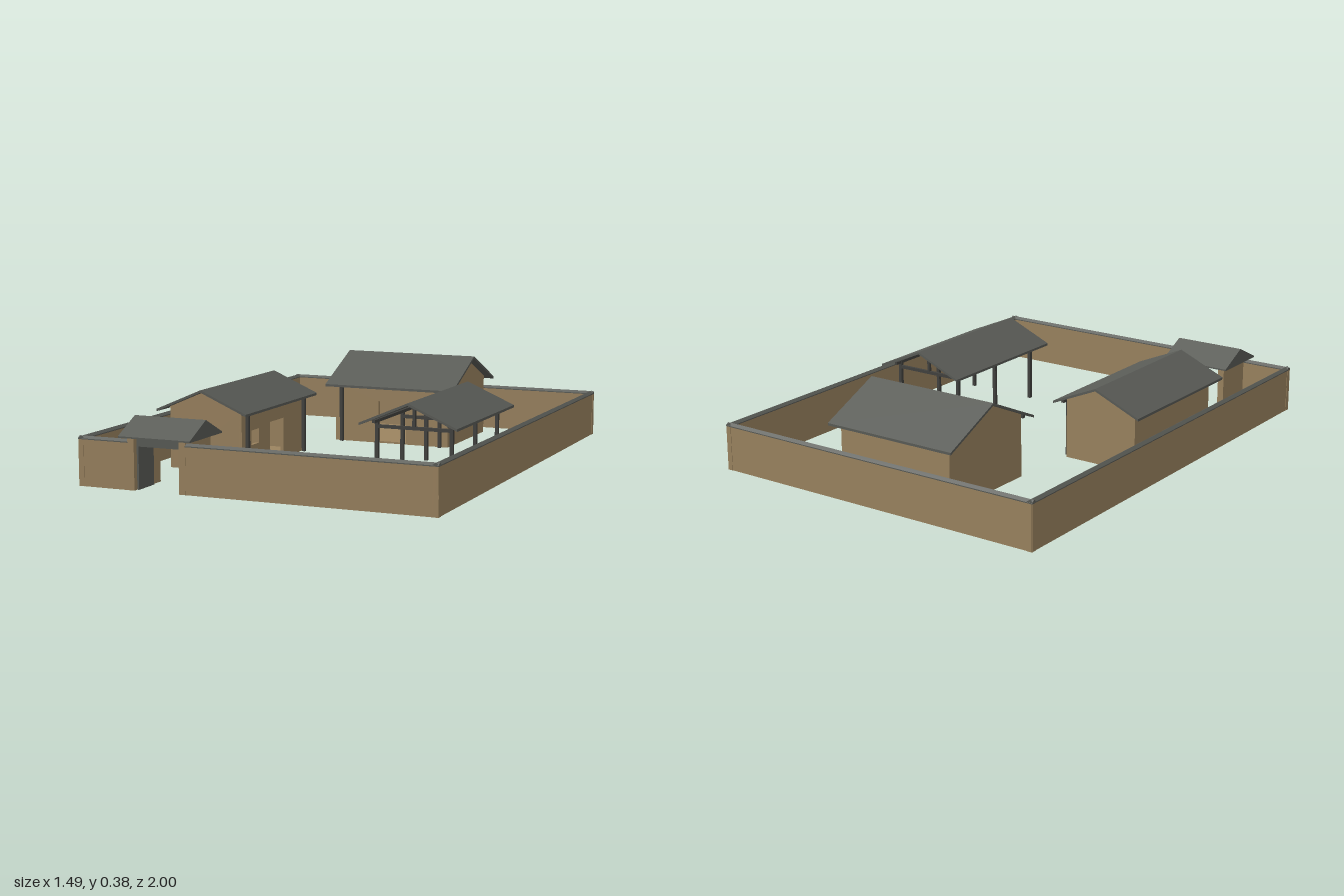
import * as THREE from 'three';

const mat = (name, color, extra = {}) => {
  const m = new THREE.MeshStandardMaterial({ color, ...extra });
  m.name = name;
  return m;
};

export function createModel() {
  const earth = mat('rammedEarth', 0x9c8460);
  const tile = mat('roofTile', 0x5a5c57);
  const timber = mat('darkTimber', 0x42423f);
  const root = new THREE.Group();
  root.name = 'walledCourtyard';

  const group = (name, x, z, ry = 0) => {
    const g = new THREE.Group();
    g.name = name;
    g.position.set(x, 0, z);
    g.rotation.y = ry;
    root.add(g);
    return g;
  };
  // Box given by its min and max corners
  const box = (parent, name, m, x0, x1, y0, y1, z0, z1) => {
    const mesh = new THREE.Mesh(new THREE.BoxGeometry(x1 - x0, y1 - y0, z1 - z0), m);
    mesh.position.set((x0 + x1) / 2, (y0 + y1) / 2, (z0 + z1) / 2);
    mesh.name = name;
    parent.add(mesh);
    return mesh;
  };
  const post = (parent, name, x, z, top, w = 0.014) =>
    box(parent, name, timber, x - w / 2, x + w / 2, 0, top, z - w / 2, z + w / 2);
  // Profile of [z, y] points swept along x from x0 to x1
  const sweep = (parent, name, m, pts, x0, x1) => {
    const shape = new THREE.Shape(pts.map(([z, y]) => new THREE.Vector2(-z, y)));
    const geo = new THREE.ExtrudeGeometry(shape, { depth: x1 - x0, bevelEnabled: false });
    geo.rotateY(Math.PI / 2).translate(x0, 0, 0);
    const mesh = new THREE.Mesh(geo, m);
    mesh.name = name;
    parent.add(mesh);
    return mesh;
  };
  // Thin gabled roof with its ridge along x
  const T = 0.01;
  const gableRoof = (parent, length, half, eave, ridge) =>
    sweep(parent, 'roof', tile, [
      [-half, eave], [0, ridge], [half, eave],
      [half, eave - T], [0, ridge - T], [-half, eave - T],
    ], -length / 2, length / 2);

  // Hollow house facing +z, with openings cut in the front wall
  const house = (g, o) => {
    const hx = o.length / 2, hz = o.depth / 2, t = 0.014;
    const under = (z) => o.ridge - T - (o.ridge - o.eave) * Math.abs(z) / o.roofHalf;
    const top = under(hz);
    box(g, 'floor', earth, -hx, hx, 0, 0.008, -hz, hz);
    box(g, 'backWall', earth, -hx, hx, 0, top, -hz, -hz + t);
    for (const s of [-1, 1]) {
      const x = s > 0 ? hx - t : -hx;
      sweep(g, 'gableWall', earth,
        [[-hz, 0], [-hz, top], [0, under(0)], [hz, top], [hz, 0]], x, x + t);
      post(g, 'porchPost', s * o.postX, hz + 0.012, under(hz + 0.02));
    }
    const shape = new THREE.Shape([[-hx, 0], [hx, 0], [hx, top], [-hx, top]]
      .map((p) => new THREE.Vector2(...p)));
    for (const [x, w, y0, y1] of o.openings) {
      shape.holes.push(new THREE.Path([[x - w / 2, y0], [x - w / 2, y1], [x + w / 2, y1], [x + w / 2, y0]]
        .map((p) => new THREE.Vector2(...p))));
    }
    const front = new THREE.Mesh(new THREE.ExtrudeGeometry(shape, { depth: t, bevelEnabled: false }), earth);
    front.position.z = hz - t;
    front.name = 'frontWall';
    g.add(front);
    box(g, 'eaveBeam', timber, -o.roofLength / 2 + 0.03, o.roofLength / 2 - 0.03,
      top - 0.018, top - 0.006, hz + 0.005, hz + 0.019);
    gableRoof(g, o.roofLength, o.roofHalf, o.eave, o.ridge);
  };

  house(group('mainHall', 0, -0.62), {
    length: 0.53, depth: 0.465, roofLength: 0.6, roofHalf: 0.27, eave: 0.253, ridge: 0.375,
    postX: 0.232, openings: [[0.005, 0.13, 0.008, 0.185]],
  });
  house(group('sideHouse', -0.4475, 0.2, Math.PI / 2), {
    length: 0.59, depth: 0.325, roofLength: 0.675, roofHalf: 0.2025, eave: 0.245, ridge: 0.332,
    postX: 0.265, openings: [[0.025, 0.13, 0.008, 0.17], [-0.175, 0.07, 0.1, 0.16]],
  });

  // Open shed: three trusses on six posts
  const shed = group('openShed', 0.445, 0.2, Math.PI / 2);
  gableRoof(shed, 0.675, 0.2025, 0.245, 0.332);
  for (const x of [-0.265, 0, 0.265]) {
    for (const z of [-0.155, 0.155]) post(shed, 'shedPost', x, z, 0.25);
    box(shed, 'tieBeam', timber, x - 0.006, x + 0.006, 0.218, 0.231, -0.155, 0.155);
    box(shed, 'kingPost', timber, x - 0.006, x + 0.006, 0.231, 0.32, -0.006, 0.006);
  }
  for (const z of [-0.155, 0.155]) {
    box(shed, 'plateBeam', timber, -0.3, 0.3, 0.24, 0.252, z - 0.006, z + 0.006);
  }
  box(shed, 'ridgeBeam', timber, -0.3, 0.3, 0.308, 0.318, -0.006, 0.006);

  // Perimeter wall with a ridged tile coping; each run is laid along local x
  const wallRun = (name, x, z, length, ry) => {
    const g = group(name, x, z, ry);
    const h = length / 2;
    box(g, 'wall', earth, -h, h, 0, 0.185, -0.011, 0.011);
    sweep(g, 'coping', tile,
      [[-0.014, 0.184], [-0.014, 0.188], [0, 0.197], [0.014, 0.188], [0.014, 0.184]], -h, h);
  };
  wallRun('backWall', 0, -0.986, 1.486, 0);
  wallRun('leftWall', 0.73, -0.008, 1.982, Math.PI / 2);
  wallRun('rightWall', -0.73, -0.008, 1.982, Math.PI / 2);
  wallRun('frontWallShort', -0.633, 0.97, 0.22, 0);
  wallRun('frontWallLong', 0.2335, 0.97, 1.019, 0);

  // Gatehouse with a solid gabled roof and open door leaves
  const gate = group('gatehouse', -0.4, 0.87);
  for (const s of [-1, 1]) {
    const span = (a, b) => (s > 0 ? [a, b] : [-b, -a]);
    box(gate, 'gateWall', earth, ...span(0.097, 0.125), 0, 0.207, -0.09, 0.112);
    box(gate, 'doorLeaf', tile, ...span(0.089, 0.097), 0, 0.17, -0.025, 0.09);
  }
  box(gate, 'lintel', tile, -0.097, 0.097, 0.168, 0.207, 0.07, 0.09);
  sweep(gate, 'gateRoof', tile,
    [[-0.13, 0.204], [-0.13, 0.21], [0, 0.273], [0.13, 0.21], [0.13, 0.204]], -0.155, 0.155);

  return root;
}
